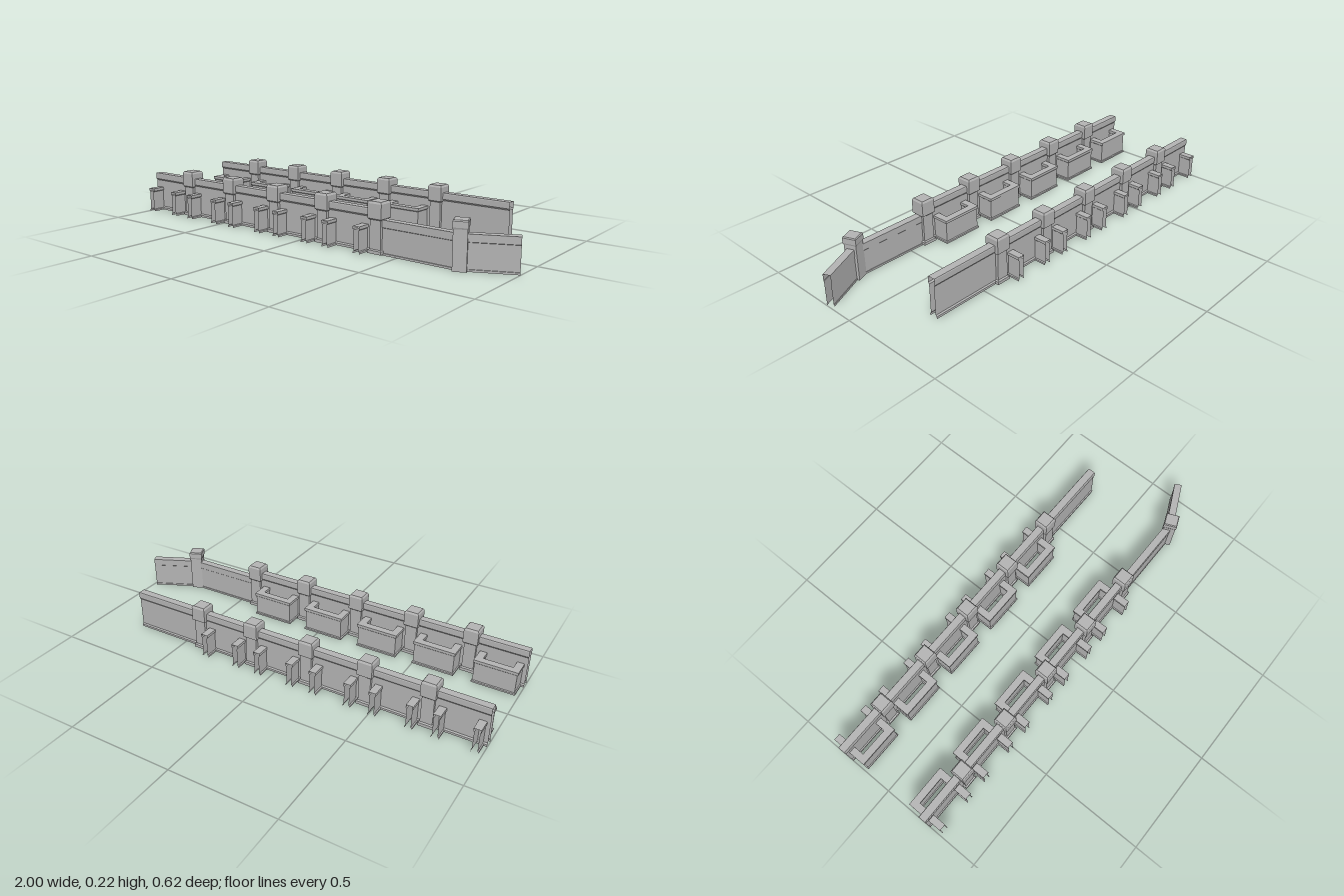
import * as THREE from 'three';

const stone = new THREE.MeshStandardMaterial({ color: 0xb2b2b2, side: THREE.DoubleSide });
stone.name = 'grey stone';

function flatMesh(name, tris) {
  const g = new THREE.BufferGeometry();
  g.setAttribute('position', new THREE.Float32BufferAttribute(tris.flat(), 3));
  g.computeVertexNormals();
  const m = new THREE.Mesh(g, stone);
  m.name = name;
  return m;
}

// Hollow wall: an open-ended, open-bottomed section swept along a mitred ground path.
// half = [halfWidth, y] pairs from the foot up to the top edge.
function shellWall(name, path, half) {
  const section = [...half, ...half.map(([w, y]) => [-w, y]).reverse()];
  const dir = (a, b) => new THREE.Vector2(b[0] - a[0], b[1] - a[1]).normalize();
  const rings = path.map((p, i) => {
    const d0 = dir(path[Math.max(i - 1, 0)], path[Math.max(i, 1)]);
    const last = path.length - 1;
    const d1 = dir(path[Math.min(i, last - 1)], path[Math.min(i + 1, last)]);
    const t = d0.clone().add(d1).normalize();
    const k = 1 / t.dot(d0);
    return section.map(([w, y]) => [p[0] - t.y * w * k, y, p[1] + t.x * w * k]);
  });
  const tris = [];
  for (let i = 0; i < rings.length - 1; i++) {
    for (let j = 0; j < section.length - 1; j++) {
      const a = rings[i][j], b = rings[i + 1][j], c = rings[i + 1][j + 1], d = rings[i][j + 1];
      tris.push(...a, ...b, ...c, ...a, ...c, ...d);
    }
  }
  return flatMesh(name, tris);
}

// Square post: stacked square sections closed at the top.
function squarePost(name, x, z, levels, turn = 0) {
  const ring = ([h, y]) => [[h, y, h], [h, y, -h], [-h, y, -h], [-h, y, h]];
  const tris = [];
  for (let i = 0; i < levels.length - 1; i++) {
    const lo = ring(levels[i]), hi = ring(levels[i + 1]);
    for (let j = 0; j < 4; j++) {
      const k = (j + 1) % 4;
      tris.push(...lo[j], ...lo[k], ...hi[k], ...lo[j], ...hi[k], ...hi[j]);
    }
  }
  const top = ring(levels[levels.length - 1]);
  tris.push(...top[0], ...top[1], ...top[2], ...top[0], ...top[2], ...top[3]);
  const m = flatMesh(name, tris);
  m.position.set(x, 0, z);
  m.rotation.y = turn;
  return m;
}

// Sections, each with a foot, a thinner body and an overhanging coping
const TALL = [[0.019, 0.004], [0.019, 0.014], [0.014, 0.02], [0.014, 0.155],
  [0.019, 0.162], [0.019, 0.187], [0.017, 0.191]];
const STALL = [[0.0165, 0.004], [0.0165, 0.012], [0.012, 0.015], [0.012, 0.104],
  [0.0165, 0.108], [0.0165, 0.121]];
const LOW = [[0.017, 0], [0.017, 0.009], [0.015, 0.01], [0.015, 0.116],
  [0.017, 0.118], [0.017, 0.15]];
const POST = [[0.0345, 0.004], [0.0345, 0.018], [0.0275, 0.022], [0.0275, 0.147],
  [0.0345, 0.153], [0.0345, 0.216], [0.029, 0.225]];
const END_POST = [[0.0285, 0], [0.0285, 0.168], [0.0315, 0.175], [0.0315, 0.2], [0.028, 0.205]];

const Z = 0.231, STEP = 0.285;

// One row of tall wall, posts and U-shaped stalls; s = +1 for front, -1 for back
function wallRow(name, s, endX) {
  const row = new THREE.Group();
  row.name = name;
  row.add(shellWall('tallWall', [[-1, s * Z], [endX, s * Z]], TALL));
  for (let i = 0; i < 5; i++) {
    row.add(squarePost('post', -0.74 + i * STEP, s * Z, POST));
    const x = -0.885 + i * STEP, w = 0.084, inner = s * 0.1505, outer = s * 0.309;
    row.add(shellWall('stall', [[x - w, outer], [x - w, inner], [x + w, inner], [x + w, outer]], STALL));
  }
  return row;
}

export function createModel() {
  const model = new THREE.Group();
  model.name = 'walledPassage';
  model.add(wallRow('backRow', -1, 0.765));

  // The front row continues as a lower wall that bends inwards at the end post
  const front = wallRow('frontRow', 1, 0.40);
  front.add(shellWall('lowWall', [[0.40, Z], [0.786, Z], [0.992, 0.133]], LOW));
  front.add(squarePost('endPost', 0.786, Z, END_POST, THREE.MathUtils.degToRad(23)));
  model.add(front);
  return model;
}
